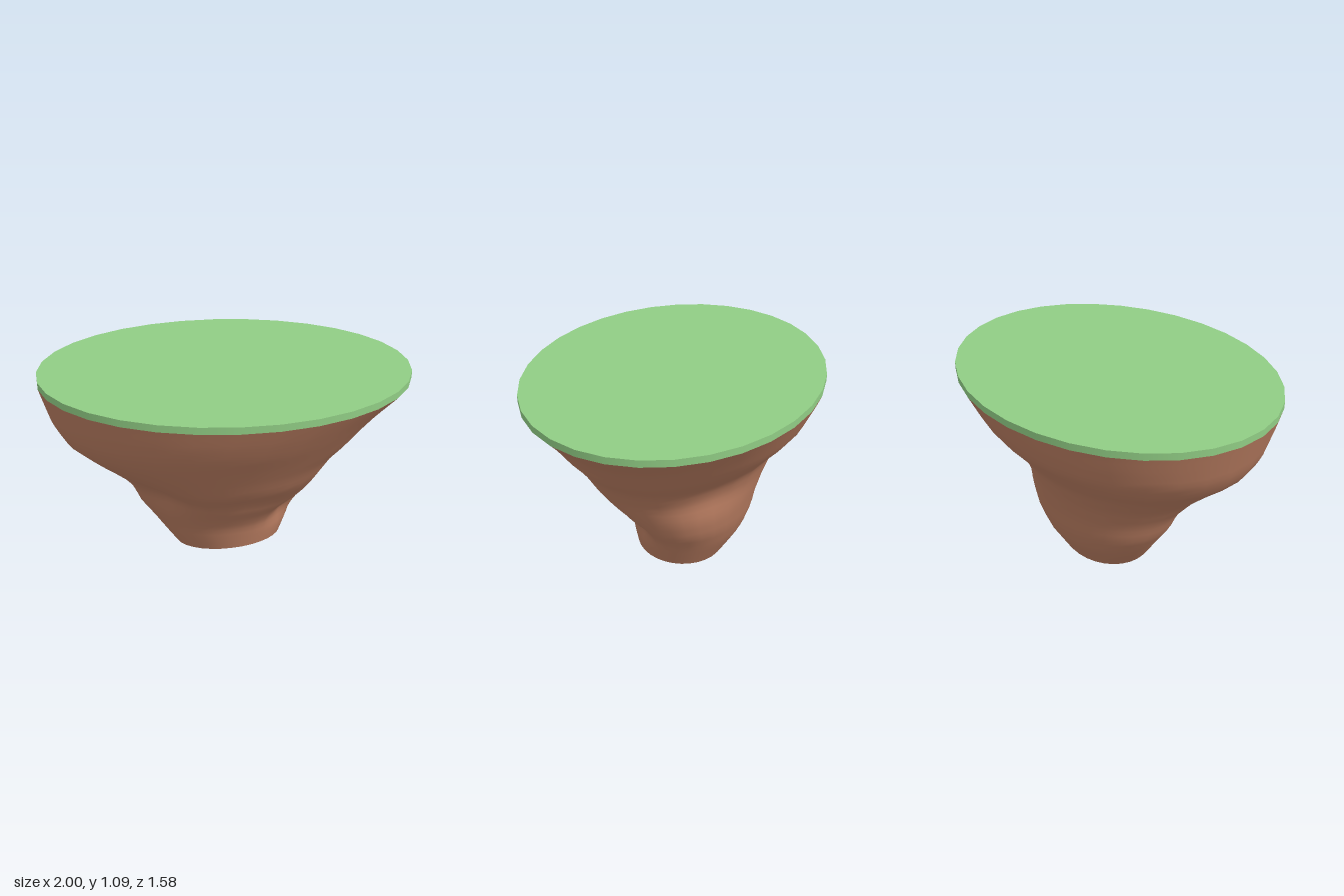
import * as THREE from 'three';
import { mergeVertices } from 'three/addons/utils/BufferGeometryUtils.js';

const SIDES = 32;

// Cross-sections of the rock: [y, xMin, xMax, zMin, zMax]
const RINGS = [
  [0.037, -0.28, 0.32, -0.28, 0.20],
  [0.20, -0.41, 0.385, -0.39, 0.235],
  [0.30, -0.49, 0.45, -0.43, 0.29],
  [0.41, -0.54, 0.50, -0.455, 0.37],
  [0.53, -0.63, 0.545, -0.49, 0.50],
  [0.65, -0.76, 0.62, -0.535, 0.57],
  [0.76, -0.89, 0.73, -0.62, 0.64],
  [0.85, -0.94, 0.80, -0.70, 0.70],
  [0.95, -0.97, 0.89, -0.75, 0.75],
  [1.05, -1.00, 1.00, -0.79, 0.79],
];

// Hollows in the rock: [angle from +x towards +z, y, angular width, height, depth]
const HOLLOWS = [
  [-Math.PI / 4, 0.58, 0.40, 0.13, 0.05],
  [Math.PI * 0.75, 0.46, 0.40, 0.15, 0.08],
  [0.60, 0.27, 0.30, 0.09, 0.05],
  [1.35, 0.45, 0.25, 0.07, 0.025],
];

function sectionAt(y) {
  let i = 0;
  while (i < RINGS.length - 2 && y > RINGS[i + 1][0]) i++;
  const t = (y - RINGS[i][0]) / (RINGS[i + 1][0] - RINGS[i][0]);
  return RINGS[i].map((v, k) => THREE.MathUtils.lerp(v, RINGS[i + 1][k], t));
}

function rockPoint(angle, y) {
  const [, x0, x1, z0, z1] = sectionAt(y);
  let scale = 1;
  for (const [a, h, wide, tall, depth] of HOLLOWS) {
    const da = Math.atan2(Math.sin(angle - a), Math.cos(angle - a)) / wide;
    const dy = (y - h) / tall;
    scale -= depth / ((x1 - x0 + z1 - z0) / 4) * Math.exp(-da * da - dy * dy);
  }
  const x = (x0 + x1) / 2 + (x1 - x0) / 2 * scale * Math.cos(angle);
  const z = (z0 + z1) / 2 + (z1 - z0) / 2 * scale * Math.sin(angle);
  // the cut at the foot leans, fading out further up
  const lean = Math.max(0, 1 - (y - RINGS[0][0]) / 0.3);
  return [x, y + lean * (0.08 * (x - 0.02) + 0.12 * (z + 0.04)), z];
}

function rockSide() {
  const rows = 27;
  const geo = new THREE.CylinderGeometry(1, 1, 1, SIDES, rows, true);
  geo.deleteAttribute('uv');
  geo.deleteAttribute('normal');
  const pos = geo.attributes.position;
  const foot = RINGS[0][0], height = RINGS[RINGS.length - 1][0] - foot;
  for (let i = 0; i < pos.count; i++) {
    const angle = Math.atan2(pos.getZ(i), pos.getX(i));
    pos.setXYZ(i, ...rockPoint(angle, foot + (pos.getY(i) + 0.5) * height));
  }
  const welded = mergeVertices(geo, 1e-5);
  welded.computeVertexNormals();
  return welded;
}

function rockFoot() {
  const geo = new THREE.CircleGeometry(1, SIDES);
  geo.rotateX(Math.PI / 2);
  const pos = geo.attributes.position;
  pos.setXYZ(0, 0.02, RINGS[0][0], -0.04);
  for (let i = 1; i < pos.count; i++) {
    pos.setXYZ(i, ...rockPoint(Math.atan2(pos.getZ(i), pos.getX(i)), RINGS[0][0]));
  }
  geo.computeVertexNormals();
  return geo;
}

export function createModel() {
  const group = new THREE.Group();
  group.name = 'floatingIsland';
  const earth = new THREE.MeshStandardMaterial({ color: 0xb87c60 });
  const grass = new THREE.MeshStandardMaterial({ color: 0x90cc84 });

  const add = (name, geometry, material) => {
    const mesh = new THREE.Mesh(geometry, material);
    mesh.name = name;
    group.add(mesh);
    return mesh;
  };

  add('rock', rockSide(), earth);
  add('rockFoot', rockFoot(), earth);

  // thin oval grass slab
  const slab = new THREE.CylinderGeometry(1, 1, 0.037, SIDES);
  slab.scale(1, 1, 0.79);
  add('grassTop', slab, grass).position.y = 1.0685;

  return group;
}
